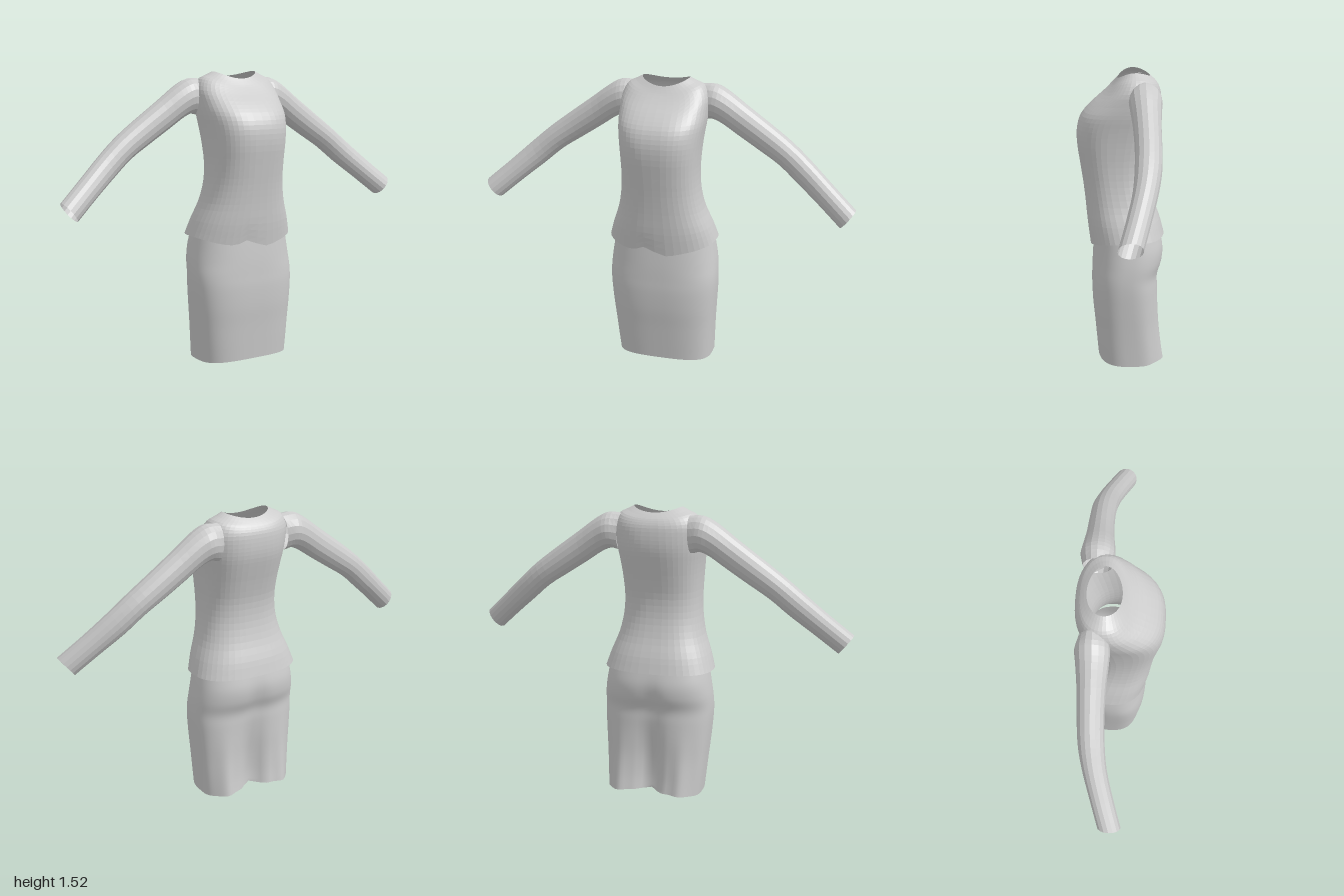
import * as THREE from 'three';

const fabric = (flatShading) => new THREE.MeshStandardMaterial({
  color: 0xcccccc, flatShading, side: THREE.DoubleSide,
});

// Skin a grid of closed rings; point(t, a) gives a position for row parameter t and angle a
function loft(rows, sides, point) {
  const pos = [], index = [];
  for (let i = 0; i <= rows; i++) {
    for (let j = 0; j < sides; j++) pos.push(...point(i / rows, (j / sides) * Math.PI * 2));
  }
  for (let i = 0; i < rows; i++) {
    for (let j = 0; j < sides; j++) {
      const a = i * sides + j, b = i * sides + ((j + 1) % sides);
      index.push(a, a + sides, b, b, a + sides, b + sides);
    }
  }
  const g = new THREE.BufferGeometry();
  g.setAttribute('position', new THREE.Float32BufferAttribute(pos, 3));
  g.setIndex(index);
  g.computeVertexNormals();
  return g;
}

// Smooth interpolation through a list of section rows, t from 0 to 1
function sections(list) {
  const n = list[0].length;
  const spline = new THREE.CubicInterpolant(list.map((_, i) => i), list.flat(), n, new Float32Array(n));
  return (t) => Array.from(spline.evaluate(t * (list.length - 1)));
}

// Rounded-box ring: half width, front z, back z, y at front / side / back, squareness
function ringPoint([hw, zf, zb, yf, ys, yb, power], a) {
  const c = Math.cos(a), s = Math.sin(a);
  const bend = (v) => Math.sign(v) * Math.abs(v) ** (2 / power);
  return [
    hw * bend(c),
    ys + ((s > 0 ? yf : yb) - ys) * s * s,
    (zf + zb) / 2 + ((zf - zb) / 2) * bend(s),
  ];
}

const bump = (x, centre, width) => Math.exp(-(((x - centre) / width) ** 2));

function makeTop() {
  const at = sections([
    [0.288, 0.163, -0.222, 0.63, 0.675, 0.675, 2.5],
    [0.262, 0.178, -0.2, 0.74, 0.755, 0.755, 2.5],
    [0.226, 0.188, -0.165, 0.85, 0.85, 0.85, 2.5],
    [0.206, 0.2, -0.143, 0.95, 0.95, 0.95, 2.5],
    [0.2, 0.215, -0.142, 1.05, 1.05, 1.05, 2.6],
    [0.204, 0.229, -0.162, 1.15, 1.15, 1.15, 2.7],
    [0.212, 0.228, -0.183, 1.23, 1.23, 1.23, 2.7],
    [0.222, 0.205, -0.2, 1.295, 1.3, 1.3, 2.6],
    [0.226, 0.155, -0.205, 1.35, 1.36, 1.36, 2.5],
    [0.225, 0.095, -0.2, 1.4, 1.425, 1.42, 2.4],
    [0.2, 0.055, -0.185, 1.437, 1.478, 1.455, 2.3],
    [0.16, 0.035, -0.166, 1.46, 1.5, 1.476, 2.1],
    [0.125, 0.02, -0.147, 1.48, 1.517, 1.492, 2],
  ]);
  return loft(36, 44, (t, a) => {
    const p = ringPoint(at(t), a);
    // Uneven front hem
    if (p[2] > 0) {
      const fade = Math.max(0, 1 - t * 10);
      p[1] += fade * (0.03 * bump(p[0], -0.05, 0.05) - 0.012 * bump(p[0], 0.06, 0.06));
    }
    return p;
  });
}

function makeSleeve(side) {
  // Upper edge x, y; lower edge x, y; centre z; half depth
  const at = sections([
    [0.18, 1.48, 0.19, 1.29, -0.11, 0.07],
    [0.25, 1.482, 0.235, 1.3, -0.11, 0.083],
    [0.32, 1.448, 0.29, 1.278, -0.108, 0.078],
    [0.42, 1.375, 0.37, 1.225, -0.108, 0.069],
    [0.55, 1.282, 0.48, 1.155, -0.107, 0.065],
    [0.66, 1.2, 0.59, 1.085, -0.1, 0.064],
    [0.76, 1.115, 0.69, 1.002, -0.082, 0.06],
    [0.88, 1.008, 0.805, 0.91, -0.045, 0.058],
    [1.0, 0.905, 0.925, 0.81, -0.003, 0.058],
  ]);
  return loft(24, 16, (t, a) => {
    const [tx, ty, bx, by, z, depth] = at(t);
    const k = (1 + Math.cos(a)) / 2;
    return [
      side * (bx + (tx - bx) * k),
      by + (ty - by) * k,
      z - side * depth * Math.sin(a),
    ];
  });
}

function makeSkirt() {
  const at = sections([
    [0.256, 0.125, -0.225, 0.01, 0.0, 0.02, 3],
    [0.263, 0.133, -0.212, 0.1, 0.1, 0.1, 3],
    [0.271, 0.142, -0.202, 0.2, 0.2, 0.2, 2.9],
    [0.28, 0.152, -0.197, 0.3, 0.3, 0.3, 2.8],
    [0.288, 0.156, -0.193, 0.4, 0.4, 0.4, 2.7],
    [0.29, 0.154, -0.192, 0.47, 0.47, 0.47, 2.6],
    [0.286, 0.151, -0.213, 0.54, 0.54, 0.54, 2.5],
    [0.276, 0.146, -0.217, 0.61, 0.61, 0.61, 2.5],
    [0.262, 0.14, -0.2, 0.68, 0.69, 0.69, 2.5],
  ]);
  return loft(40, 80, (t, a) => {
    const p = ringPoint(at(t), a);
    // Central hollow and soft pleats down the back
    const back = THREE.MathUtils.smoothstep(-p[2], 0, 0.12);
    const fall = 1 - THREE.MathUtils.smoothstep(p[1], 0, 0.6);
    p[2] += back * (0.085 * fall * bump(p[0], 0.01, 0.075)
      + 0.008 * fall * fall * Math.cos(p[0] * 55)
      + 0.012 * bump(p[1], 0.54, 0.09) * bump(p[0], 0, 0.05));
    // Hem drifts slightly to one side
    p[0] += 0.004 + 0.011 * (1 - t) ** 2;
    return p;
  });
}

export function createModel() {
  const model = new THREE.Group();
  const add = (name, geometry, material) => {
    const mesh = new THREE.Mesh(geometry, material);
    mesh.name = name;
    model.add(mesh);
  };
  const knit = fabric(true);
  add('sweaterBody', makeTop(), knit);
  add('leftSleeve', makeSleeve(1), knit);
  add('rightSleeve', makeSleeve(-1), knit);
  add('skirt', makeSkirt(), fabric(false));
  return model;
}
